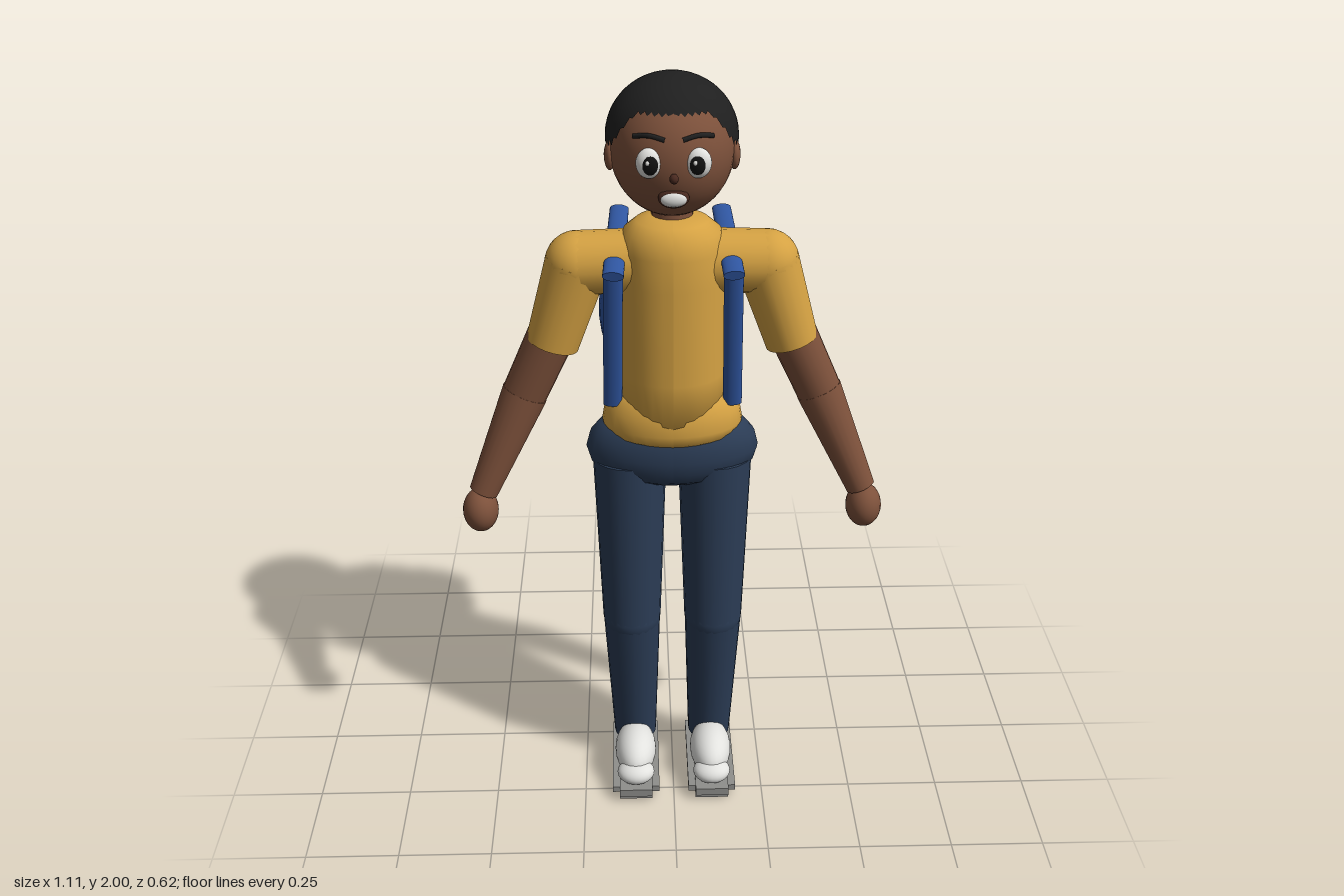
import * as THREE from 'three';

export function createModel() {
  const mat = (name, color, side = THREE.FrontSide) => {
    const m = new THREE.MeshStandardMaterial({ color, side });
    m.name = name;
    return m;
  };
  const skin = mat('skin', 0x7d513b);
  const darkSkin = mat('dark skin', 0x4a2a20);
  const hairMat = mat('hair', 0x1f1f1f, THREE.DoubleSide);
  const shirt = mat('shirt', 0xd5a243);
  const denim = mat('denim', 0x2b3c55);
  const blue = mat('backpack blue', 0x2f559f);
  const white = mat('white', 0xe2e2df);
  const soleGrey = mat('sole grey', 0x8f8f8c);
  const black = mat('black', 0x101010);

  const model = new THREE.Group();
  const add = (name, geo, material) => {
    const mesh = new THREE.Mesh(geo, material);
    mesh.name = name;
    model.add(mesh);
    return mesh;
  };
  const ball = (name, p, r, material, seg = 24) => {
    const mesh = add(name, new THREE.SphereGeometry(1, seg, Math.round(seg * 0.67)), material);
    mesh.position.set(...p);
    mesh.scale.set(...r);
    return mesh;
  };
  const box = (name, x0, x1, y0, y1, z0, z1, material) => {
    const mesh = add(name, new THREE.BoxGeometry(x1 - x0, y1 - y0, z1 - z0), material);
    mesh.position.set((x0 + x1) / 2, (y0 + y1) / 2, (z0 + z1) / 2);
  };
  // Tapered rod from a to b; flat squashes its local z thickness
  const limb = (name, a, b, ra, rb, material, flat = 1) => {
    const A = new THREE.Vector3(...a), B = new THREE.Vector3(...b);
    const geo = new THREE.CylinderGeometry(rb, ra, A.distanceTo(B), 20);
    geo.scale(1, 1, flat);
    const mesh = add(name, geo, material);
    mesh.position.copy(A).add(B).multiplyScalar(0.5);
    mesh.quaternion.setFromUnitVectors(new THREE.Vector3(0, 1, 0), B.sub(A).normalize());
    return mesh;
  };
  // Elliptical body of revolution from [radius, y] points
  const turned = (name, pts, depth, z, material) => {
    const geo = new THREE.LatheGeometry(pts.map(([r, y]) => new THREE.Vector2(r, y)), 32);
    geo.scale(1, 1, depth);
    geo.translate(0, 0, z);
    geo.computeVertexNormals();
    return add(name, geo, material);
  };

  // Body
  turned('hips', [[0, 0.94], [0.14, 0.945], [0.19, 0.965], [0.215, 0.995], [0.225, 1.03],
    [0.215, 1.07], [0.19, 1.1], [0.15, 1.12], [0, 1.12]], 0.52, 0.085, denim);
  turned('shirtHem', [[0, 1.065], [0.15, 1.068], [0.175, 1.085], [0.182, 1.11], [0.175, 1.15],
    [0.155, 1.18], [0.13, 1.2], [0, 1.2]], 0.68, 0.083, shirt);
  turned('torso', [[0, 1.12], [0.138, 1.12], [0.135, 1.25], [0.135, 1.5], [0.132, 1.58],
    [0.12, 1.625], [0.09, 1.65], [0.055, 1.66], [0, 1.66]], 0.9, 0.08, shirt);
  limb('neck', [0, 1.6, 0.07], [0, 1.71, 0.065], 0.053, 0.05, skin);

  // Head
  ball('head', [0, 1.825, 0.068], [0.15, 0.163, 0.155], skin, 36);
  ball('nose', [0, 1.8, 0.232], [0.011, 0.012, 0.013], darkSkin, 12);
  ball('lips', [0, 1.745, 0.204], [0.037, 0.025, 0.013], darkSkin);
  ball('teeth', [0, 1.743, 0.21], [0.031, 0.018, 0.012], white);

  // Hair cap whose lower edge follows a hairline, low at the nape and high at the brow
  const hairline = (a) => {
    const t = Math.abs(a);
    const front = 1.93 - 0.09 * THREE.MathUtils.smoothstep(t, 0.6, 1.2);
    return front - 0.065 * THREE.MathUtils.clamp((t - 1.2) / 1.5, 0, 1);
  };
  const hair = new THREE.SphereGeometry(1, 48, 16);
  const pos = hair.attributes.position, uv = hair.attributes.uv;
  for (let i = 0; i < pos.count; i++) {
    const a = (Math.round(uv.getX(i) * 96) / 96 - 0.5) * Math.PI * 2;
    const end = Math.acos((hairline(a) - 1.85) / 0.15);
    const t = (1 - uv.getY(i)) * end;
    pos.setXYZ(i, 0.16 * Math.sin(t) * Math.sin(a), 1.85 + 0.15 * Math.cos(t),
      0.05 + 0.16 * Math.sin(t) * Math.cos(a));
  }
  hair.computeVertexNormals();
  add('hair', hair, hairMat);

  // Paired parts
  for (const s of [1, -1]) {
    // Face
    ball('ear', [s * 0.149, 1.81, 0.08], [0.014, 0.036, 0.027], skin, 16);
    ball('eye', [s * 0.057, 1.83, 0.207], [0.031, 0.036, 0.022], white);
    ball('pupil', [s * 0.055, 1.829, 0.221], [0.019, 0.023, 0.013], black);
    ball('eyeGlint', [s * 0.055 - 0.006, 1.837, 0.232], [0.005, 0.006, 0.004], white, 10);
    const brow = new THREE.CatmullRomCurve3([[0.02, 1.884, 0.21], [0.055, 1.892, 0.2], [0.092, 1.885, 0.176]]
      .map(([x, y, z]) => new THREE.Vector3(s * x, y, z)));
    add('eyebrow', new THREE.TubeGeometry(brow, 10, 0.006, 8), hairMat);

    // Arm
    limb('shoulderYoke', [s * 0.08, 1.543, 0.08], [s * 0.235, 1.538, 0.08], 0.08, 0.08, shirt);
    ball('shoulder', [s * 0.235, 1.538, 0.08], [0.08, 0.08, 0.08], shirt);
    limb('sleeve', [s * 0.235, 1.538, 0.08], [s * 0.303, 1.325, 0.083], 0.08, 0.068, shirt);
    limb('upperArm', [s * 0.28, 1.4, 0.082], [s * 0.38, 1.18, 0.075], 0.062, 0.058, skin);
    ball('elbow', [s * 0.38, 1.18, 0.075], [0.058, 0.058, 0.058], skin);
    limb('forearm', [s * 0.38, 1.18, 0.075], [s * 0.498, 0.915, 0.122], 0.06, 0.038, skin);
    ball('hand', [s * 0.508, 0.862, 0.126], [0.047, 0.06, 0.055], skin);

    // Leg
    limb('thigh', [s * 0.112, 1.0, 0.088], [s * 0.112, 0.51, 0.115], 0.097, 0.079, denim);
    ball('knee', [s * 0.112, 0.515, 0.115], [0.079, 0.079, 0.079], denim);
    limb('shin', [s * 0.112, 0.515, 0.115], [s * 0.107, 0.08, 0.076], 0.078, 0.06, denim);
    ball('trouserCuff', [s * 0.107, 0.085, 0.076], [0.06, 0.04, 0.055], denim);

    // Shoe
    const x = s * 0.107;
    box('soleTread', x - 0.046, x + 0.046, 0, 0.025, 0, 0.293, soleGrey);
    box('soleLong', x - 0.046, x + 0.046, 0.022, 0.045, -0.02, 0.31, soleGrey);
    box('soleWide', x - 0.066, x + 0.066, 0.021, 0.039, 0, 0.288, soleGrey);
    ball('shoeUpper', [x, 0.09, 0.18], [0.058, 0.062, 0.1], white);
    ball('shoeToe', [x, 0.073, 0.262], [0.052, 0.032, 0.044], white);
    ball('shoeHeel', [x, 0.09, 0.03], [0.048, 0.045, 0.046], white);

    // Backpack straps
    limb('frontStrap', [s * 0.153, 1.17, 0.125], [s * 0.145, 1.56, 0.195], 0.024, 0.024, blue, 0.55);
    limb('shoulderStrap', [s * 0.145, 1.553, 0.213], [s * 0.13, 1.617, -0.09], 0.026, 0.024, blue, 0.5);
  }

  // Backpack
  ball('backpack', [0, 1.315, -0.148], [0.19, 0.257, 0.114], blue, 28);
  ball('backpackPocket', [0, 1.215, -0.262], [0.135, 0.125, 0.049], blue, 28);

  return model;
}
